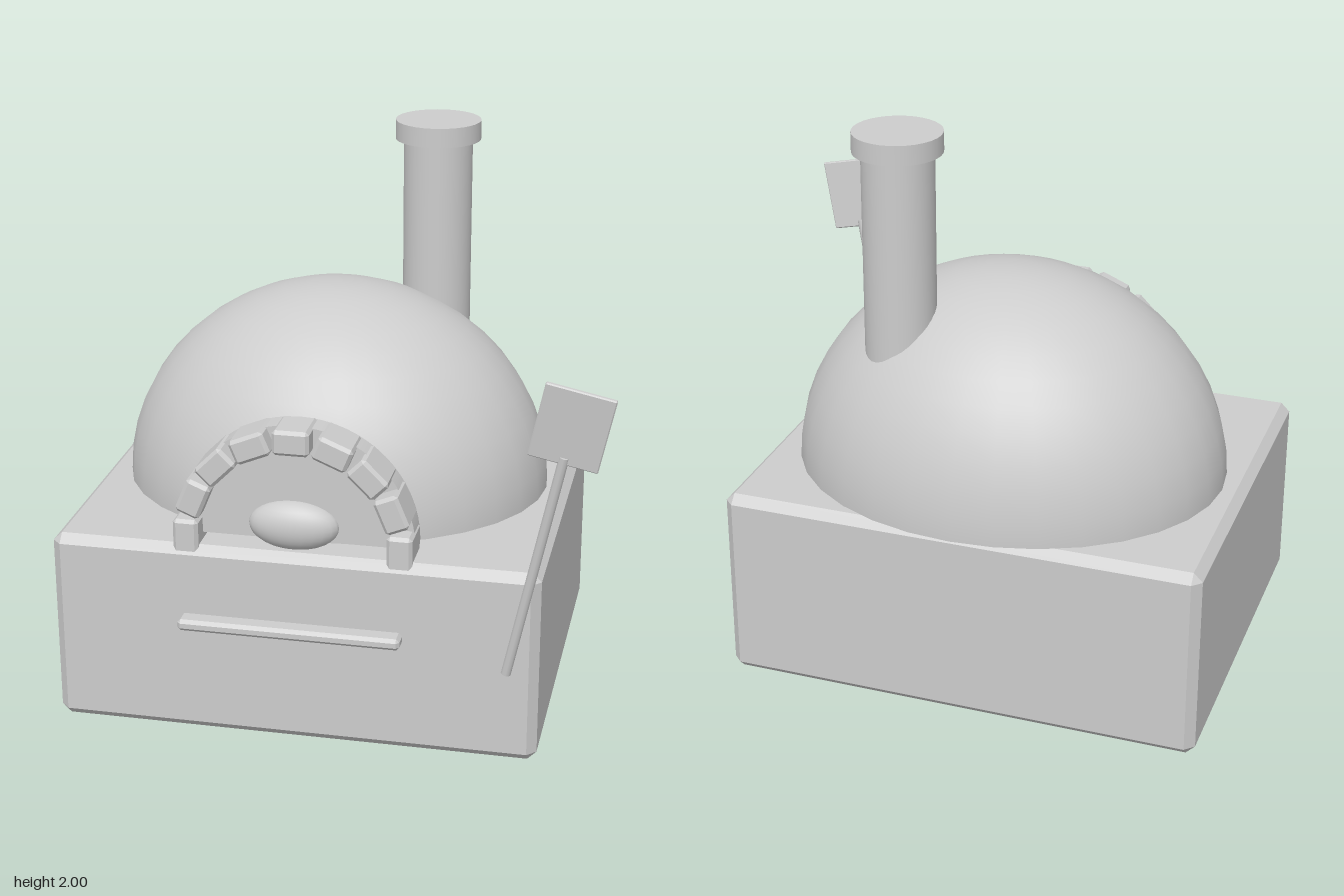
import * as THREE from 'three';
import { ConvexGeometry } from 'three/addons/geometries/ConvexGeometry.js';

const clay = new THREE.MeshStandardMaterial({ color: 0xcccccc });
clay.name = 'clay grey';

// Box with flat chamfers along every edge
function chamferBox(w, h, d, c) {
  const points = [];
  for (const sx of [-1, 1]) for (const sy of [-1, 1]) for (const sz of [-1, 1]) {
    const x = w / 2, y = h / 2, z = d / 2;
    points.push(
      new THREE.Vector3(sx * x, sy * (y - c), sz * (z - c)),
      new THREE.Vector3(sx * (x - c), sy * y, sz * (z - c)),
      new THREE.Vector3(sx * (x - c), sy * (y - c), sz * z));
  }
  return new ConvexGeometry(points);
}

function add(parent, name, geometry, x, y, z) {
  const mesh = new THREE.Mesh(geometry, clay);
  mesh.name = name;
  mesh.position.set(x, y, z);
  parent.add(mesh);
  return mesh;
}

export function createModel() {
  const oven = new THREE.Group();
  oven.name = 'oven';

  // Stand and front rail
  add(oven, 'stand', chamferBox(1.72, 0.71, 1.4, 0.032), -0.12, 0.355, -0.04);
  add(oven, 'frontRail', chamferBox(0.785, 0.042, 0.08, 0.012), -0.122, 0.435, 0.682);

  // Dome, overhanging slightly at the back, with its underside
  const dome = new THREE.SphereGeometry(1, 32, 12, 0, Math.PI * 2, 0, Math.PI / 2);
  dome.scale(0.78, 0.74, 0.66);
  add(oven, 'dome', dome, -0.12, 0.71, -0.12);
  const underside = new THREE.CircleGeometry(1, 32);
  underside.rotateX(Math.PI / 2);
  underside.scale(0.78, 1, 0.66);
  add(oven, 'domeUnderside', underside, -0.12, 0.71, -0.12);

  // Chimney
  add(oven, 'chimney', new THREE.CylinderGeometry(0.125, 0.125, 0.9, 32), 0.195, 1.49, -0.39);
  add(oven, 'chimneyCap', new THREE.CylinderGeometry(0.155, 0.155, 0.07, 32), 0.195, 1.965, -0.39);

  // Mouth: half-round plug behind an arch of bricks
  const mouth = new THREE.CylinderGeometry(0.42, 0.42, 0.09, 32, 1, false, Math.PI / 2, Math.PI);
  mouth.rotateX(Math.PI / 2);
  add(oven, 'mouth', mouth, -0.12, 0.735, 0.535);

  const arch = new THREE.Group();
  arch.name = 'brickArch';
  const brick = chamferBox(0.09, 0.13, 0.16, 0.012);
  for (let i = 0; i <= 8; i++) {
    const a = i * Math.PI / 8;
    add(arch, 'brick', brick, -0.12 + 0.375 * Math.cos(a), 0.738 + 0.375 * Math.sin(a), 0.57)
      .rotation.z = a;
  }
  oven.add(arch);

  // Loaf in the mouth
  const loaf = new THREE.SphereGeometry(1, 24, 16);
  loaf.scale(0.16, 0.09, 0.07);
  add(oven, 'loaf', loaf, -0.125, 0.79, 0.575);

  // Peel leaning against the front corner
  const peel = new THREE.Group();
  peel.name = 'peel';
  peel.position.set(0.63, 0.34, 0.658);
  peel.quaternion.setFromUnitVectors(
    new THREE.Vector3(0, 1, 0), new THREE.Vector3(0.206, 0.955, 0.102).normalize());
  add(peel, 'peelHandle', new THREE.CylinderGeometry(0.018, 0.018, 0.87, 10), 0, 0.435, 0);
  add(peel, 'peelBlade', chamferBox(0.235, 0.27, 0.018, 0.004), 0, 0.98, 0);
  oven.add(peel);

  return oven;
}
